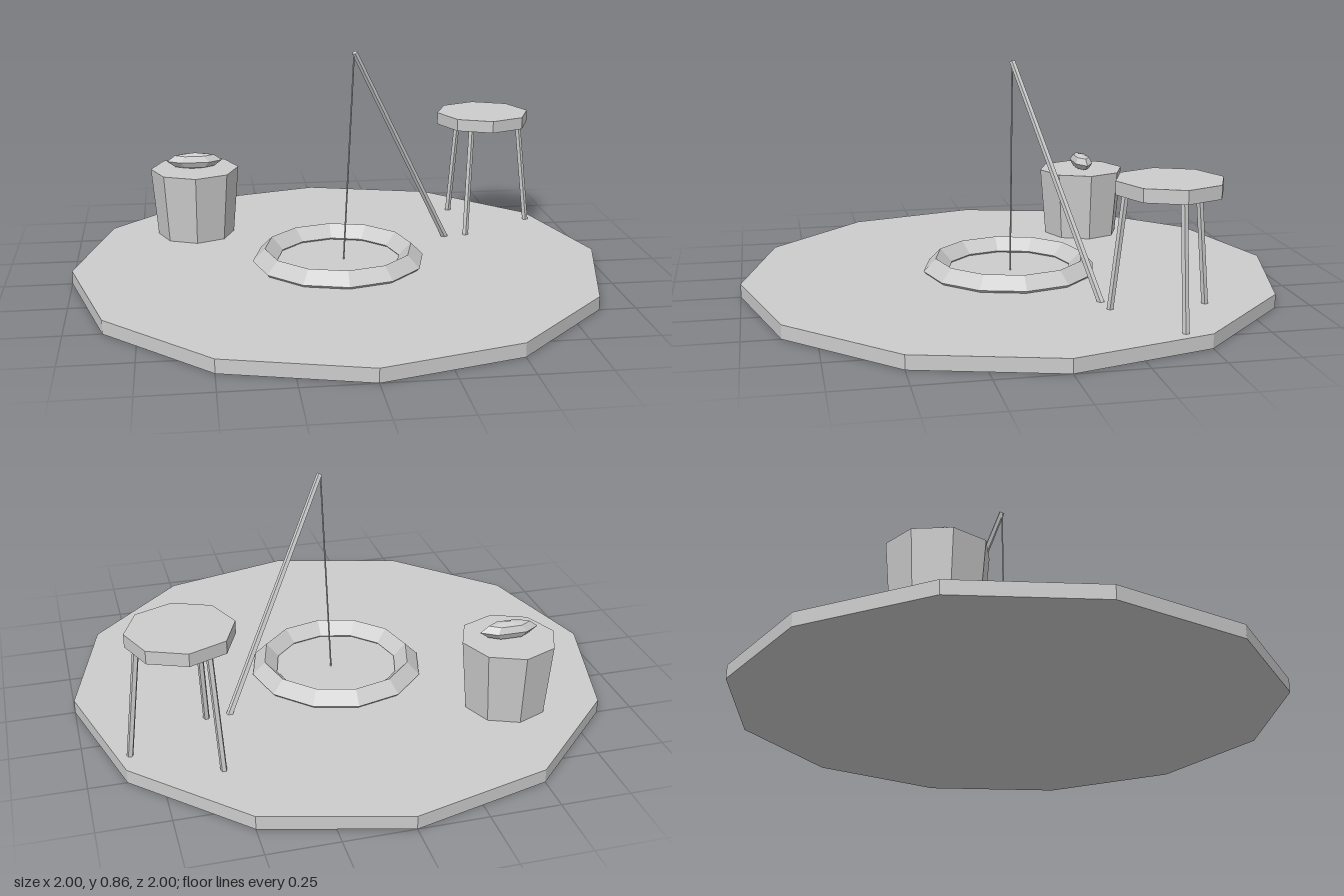
import * as THREE from 'three';

export function createModel() {
  const model = new THREE.Group();
  model.name = 'iceFishingCamp';
  const grey = new THREE.MeshStandardMaterial({ color: 0xcccccc, flatShading: true });
  grey.name = 'plain grey';

  function add(parent, name, geometry, x = 0, y = 0, z = 0) {
    const mesh = new THREE.Mesh(geometry, grey);
    mesh.name = name;
    mesh.position.set(x, y, z);
    parent.add(mesh);
    return mesh;
  }

  // Straight pole running from point a (bottom) to point b (top)
  function addPole(parent, name, a, b, rBottom, rTop, sides) {
    const start = new THREE.Vector3(...a);
    const end = new THREE.Vector3(...b);
    const dir = end.clone().sub(start);
    const mesh = add(parent, name, new THREE.CylinderGeometry(rTop, rBottom, dir.length(), sides));
    mesh.position.copy(start).add(end).multiplyScalar(0.5);
    mesh.quaternion.setFromUnitVectors(new THREE.Vector3(0, 1, 0), dir.normalize());
    return mesh;
  }

  // Ice slab
  add(model, 'iceSlab', new THREE.CylinderGeometry(1, 1, 0.05, 12), 0, 0.025, 0);

  // Raised rim around the fishing hole, with a thin water surface
  const rim = new THREE.TorusGeometry(0.28, 0.047, 4, 12).rotateX(-Math.PI / 2);
  add(model, 'holeRim', rim, 0, 0.06, 0);
  add(model, 'water', new THREE.CylinderGeometry(0.25, 0.25, 0.004, 12), 0, 0.051, 0);

  // Rod leaning over the hole, with its line
  const rod = new THREE.Group();
  rod.name = 'fishingRod';
  model.add(rod);
  addPole(rod, 'rodPole', [0.463, 0.045, -0.235], [0.06, 0.85, 0], 0.013, 0.011, 5);
  addPole(rod, 'line', [0.02, 0.05, 0], [0.058, 0.845, 0], 0.003, 0.003, 4);

  // Bucket with a fish lying on top
  const bucket = new THREE.Group();
  bucket.name = 'bucket';
  bucket.position.set(-0.53, 0, -0.415);
  model.add(bucket);
  add(bucket, 'bucketBody', new THREE.CylinderGeometry(0.175, 0.152, 0.27, 8), 0, 0.185, 0);
  add(bucket, 'fish', new THREE.SphereGeometry(1, 6, 4).scale(0.11, 0.033, 0.04), 0, 0.35, 0);

  // Three-legged stool
  const stool = new THREE.Group();
  stool.name = 'stool';
  stool.position.set(0.647, 0, -0.413);
  model.add(stool);
  add(stool, 'seat', new THREE.CylinderGeometry(0.187, 0.187, 0.047, 8), 0, 0.496, 0);
  for (let i = 0; i < 3; i++) {
    const angle = (i * Math.PI * 2) / 3;
    const c = Math.cos(angle), s = Math.sin(angle);
    addPole(stool, 'stoolLeg', [0.197 * c, 0.045, 0.197 * s], [0.148 * c, 0.475, 0.148 * s], 0.012, 0.012, 5);
  }

  return model;
}
